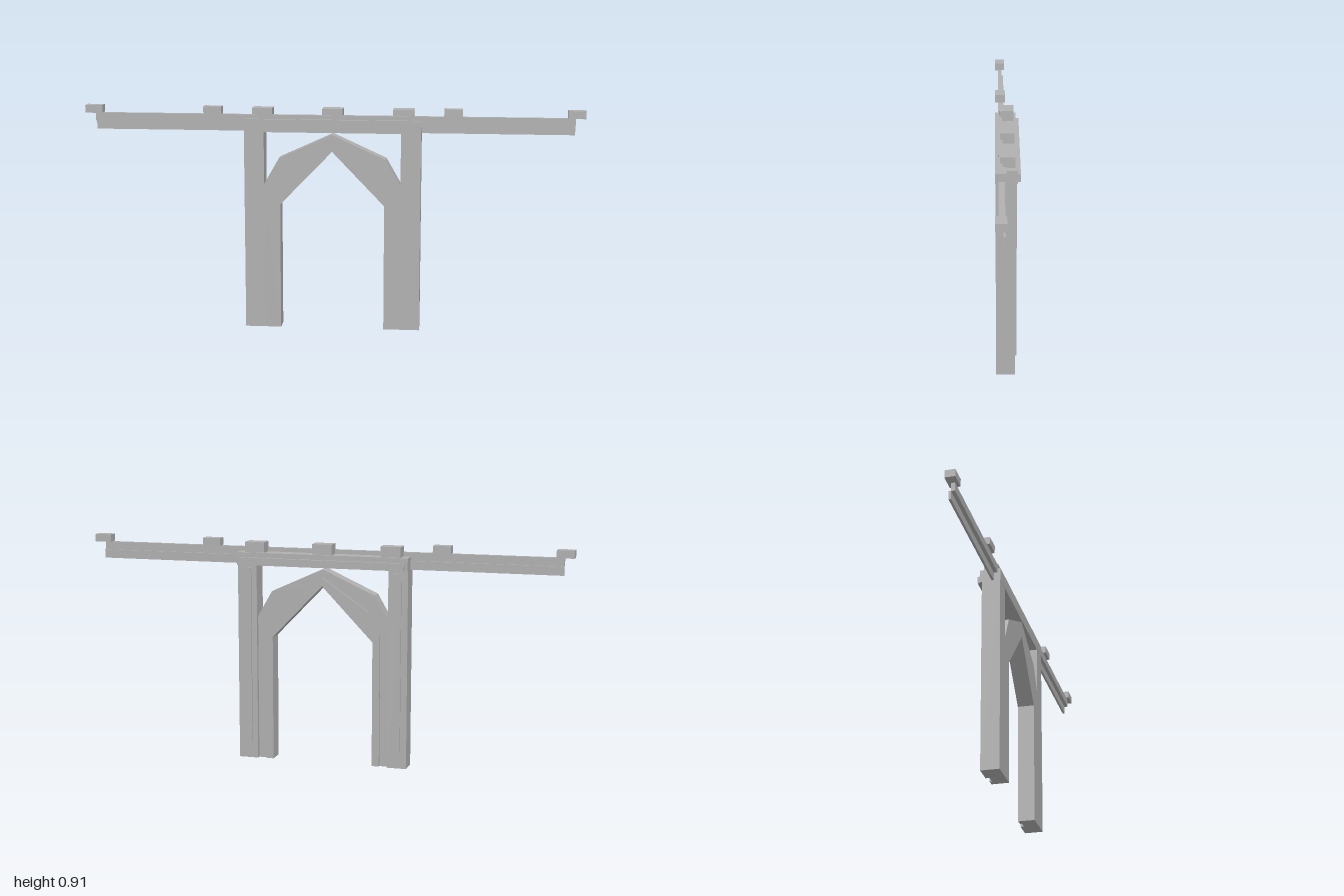
import * as THREE from 'three';

export function createModel() {
  const model = new THREE.Group();
  model.name = 'gateway';
  const stone = new THREE.MeshStandardMaterial({ color: 0xb0b0b0 });
  stone.name = 'grey stone';

  const add = (name, geometry) => {
    const mesh = new THREE.Mesh(geometry, stone);
    mesh.name = name;
    model.add(mesh);
  };
  // Box given by its limits on each axis
  const box = (name, x0, x1, y0, y1, z0, z1) => {
    const g = new THREE.BoxGeometry(x1 - x0, y1 - y0, z1 - z0);
    g.translate((x0 + x1) / 2, (y0 + y1) / 2, (z0 + z1) / 2);
    add(name, g);
  };
  // Symmetrical band between an outer and an inner half-line, both listed from the foot to the peak
  const band = (name, outer, inner, z0, z1) => {
    const mirror = (pts) => pts.slice(0, -1).reverse().map(([x, y]) => [-x, y]);
    const whole = (pts) => [...pts, ...mirror(pts)];
    const outline = [...whole(outer), ...whole(inner).reverse()];
    const shape = new THREE.Shape(outline.map(([x, y]) => new THREE.Vector2(x, y)));
    const g = new THREE.ExtrudeGeometry(shape, { depth: z1 - z0, bevelEnabled: false });
    g.translate(0, 0, z0);
    add(name, g);
  };

  // Pointed arch and its raised moulding on the back
  const archOuter = [[0.275, 0], [0.275, 0.595], [0.215, 0.7], [0, 0.798]];
  const archInner = [[0.21, 0], [0.21, 0.512], [0, 0.73]];
  const mouldingOuter = [[0.24, 0], [0.24, 0.545], [0.19, 0.635], [0, 0.765]];
  band('arch', archOuter, archInner, -0.012, 0.048);
  band('archMoulding', mouldingOuter, archInner, -0.021, -0.012);

  // Pillars with a slim strip on the back
  for (const s of [-1, 1]) {
    const span = (a, b) => (s > 0 ? [a, b] : [-b, -a]);
    box('pillar', ...span(0.275, 0.355), 0, 0.806, -0.027, 0.048);
    box('pillarStrip', ...span(0.298, 0.329), 0.07, 0.795, -0.033, -0.027);

    // Small blocks standing on the rail
    box('railBlock', ...span(0.93, 1), 0.875, 0.906, 0.008, 0.049);
    box('railBlock', ...span(0.445, 0.518), 0.875, 0.906, 0.008, 0.049);
    // Thin board hanging below the rail
    box('railBoard', ...span(0.355, 0.96), 0.807, 0.842, 0.013, 0.022);
  }

  // Lintel, cornice and long rail
  box('lintel', -0.355, 0.355, 0.806, 0.858, -0.036, 0.049);
  box('cornice', -0.342, 0.342, 0.809, 0.838, -0.048, -0.036);
  box('rail', -0.96, 0.96, 0.841, 0.875, 0.021, 0.037);

  // Three blocks on the lintel
  for (const x of [-0.283, 0, 0.283]) {
    box('lintelBlock', x - 0.041, x + 0.041, 0.858, 0.9, -0.027, 0.03);
  }
  return model;
}
